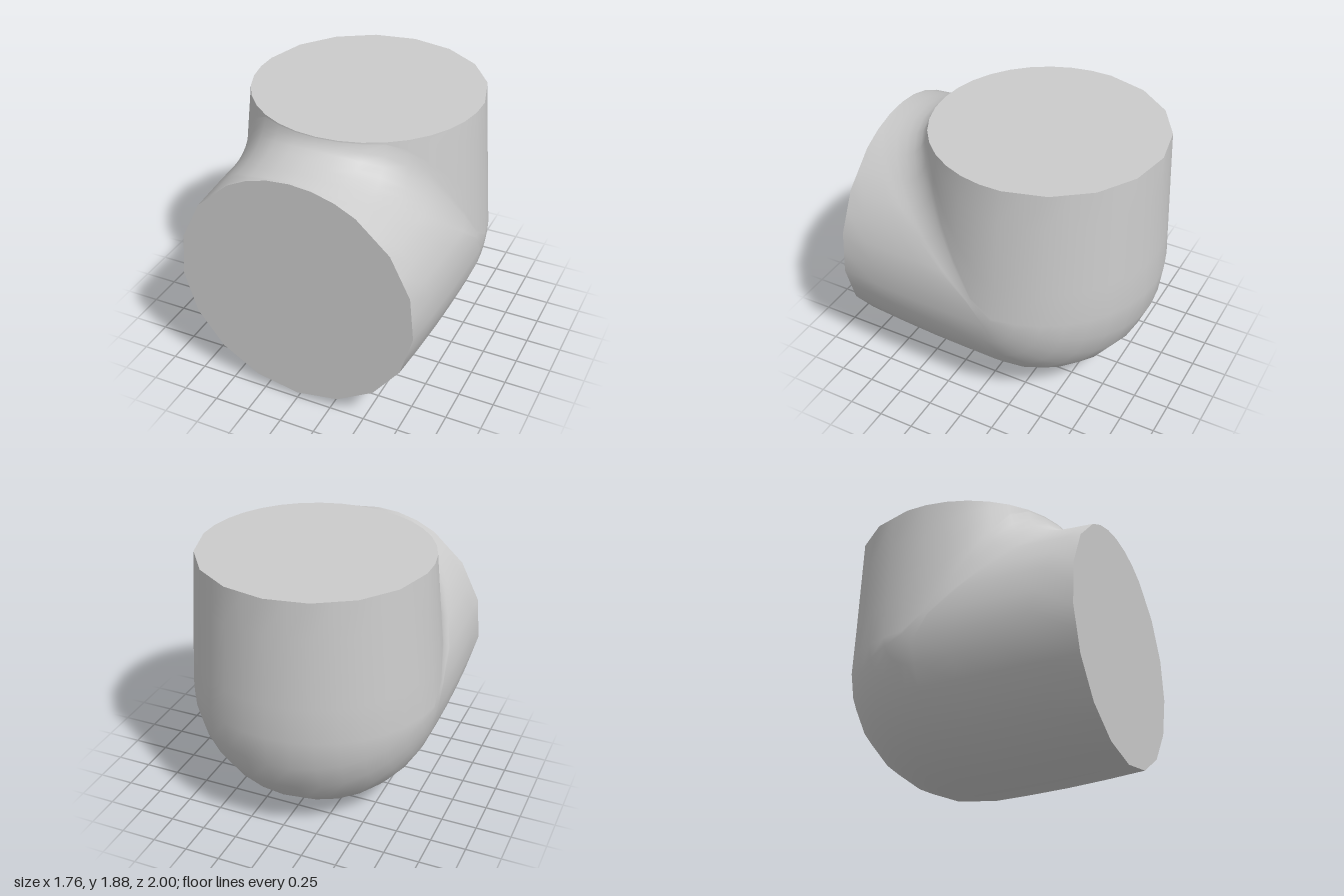
import * as THREE from 'three';

const SIDES = 34;              // points around the tube
const R = 0.885;               // radius at the bend
const C = { z: -0.115, y: 0.885 }; // centre of the bend
const RF = 0.845, RT = 0.803;  // radii of the front and top mouths
const mix = (a, b, t) => a.clone().lerp(b, t);

// One lengthwise strand of the elbow, from front mouth to top mouth
function strand(i) {
  const phi = (i / SIDES) * Math.PI * 2;
  const d = Math.cos(phi), s = Math.sin(phi); // d = 1 on the outside of the bend
  // the mouths have half as many sides, so odd strands end on a chord
  const flat = i % 2 ? Math.cos((Math.PI * 2) / SIDES) : 1;
  const rf = RF * (d > -0.9 ? flat : 1), rt = RT * (d > 0 ? flat : 1);
  const front = new THREE.Vector3(s * rf, 0.8875 - d * rf, 1);
  const top = new THREE.Vector3(s * rt, 1.875, -0.167 - d * rt);
  const low = new THREE.Vector3(s * R, C.y - d * R, C.z);
  const back = new THREE.Vector3(s * R, C.y, C.z - d * R);
  let a = low, b = back, bend;
  if (d > 0) {
    // outside: round arc about the bend centre
    bend = (u) => {
      const t = (u * Math.PI) / 2;
      return new THREE.Vector3(s * R, C.y - d * R * Math.cos(t), C.z - d * R * Math.sin(t));
    };
  } else {
    // inside: the two straight runs meet in a soft fillet
    const m1 = (low.y - front.y) / (low.z - front.z);
    const m2 = (back.z - top.z) / (back.y - top.y);
    const y = (front.y + m1 * (top.z - m2 * top.y - front.z)) / (1 - m1 * m2);
    const z = top.z + m2 * (y - top.y);
    const c1 = mix(front, low, (1 - z) / (1 - C.z));
    const c2 = mix(top, back, (top.y - y) / (top.y - C.y));
    const f = -0.36 * d;
    a = mix(c1, front, Math.min(0.94, f / c1.distanceTo(front)));
    b = mix(c2, top, Math.min(0.94, f / c2.distanceTo(top)));
    const curve = new THREE.QuadraticBezierCurve3(a, mix(c1, c2, 0.5), b);
    bend = (u) => curve.getPoint(u);
  }
  const points = [];
  const add = (p, amount) => {
    // slight barrel swelling of the front run
    const t = THREE.MathUtils.clamp((p.z - C.z) / (1 - C.z), 0, 1);
    const swell = 0.012 * Math.sin(Math.PI * t) * amount;
    points.push(new THREE.Vector3(p.x + s * swell, p.y - d * swell, p.z));
  };
  for (let k = 0; k < 4; k++) add(mix(front, a, k / 4), 1);
  for (let k = 0; k <= 6; k++) add(bend(k / 6), 1 - k / 6);
  for (let k = 1; k <= 4; k++) add(mix(b, top, k / 4), 0);
  return points;
}

function makeGeometry(points, index) {
  const g = new THREE.BufferGeometry().setFromPoints(points);
  g.setIndex(index);
  g.computeVertexNormals();
  return g;
}

// Flat disc closing a mouth
function cap(ring, reversed) {
  const centre = ring.reduce((sum, p) => sum.add(p), new THREE.Vector3()).divideScalar(SIDES);
  const index = [];
  for (let i = 0; i < SIDES; i++) {
    const n = (i + 1) % SIDES;
    if (reversed) index.push(SIDES, n, i);
    else index.push(SIDES, i, n);
  }
  return makeGeometry([...ring, centre], index);
}

export function createModel() {
  const group = new THREE.Group();
  group.name = 'pipeElbow';
  const material = new THREE.MeshStandardMaterial({ color: 0xcccccc });
  const strands = Array.from({ length: SIDES }, (_, i) => strand(i));
  const rows = strands[0].length;

  // Smooth skin joining neighbouring strands
  const index = [];
  for (let i = 0; i < SIDES; i++) {
    for (let j = 0; j < rows - 1; j++) {
      const p = i * rows + j, q = ((i + 1) % SIDES) * rows + j;
      index.push(p, p + 1, q, q, p + 1, q + 1);
    }
  }
  const add = (name, geometry) => {
    const mesh = new THREE.Mesh(geometry, material);
    mesh.name = name;
    group.add(mesh);
  };
  add('elbowBody', makeGeometry(strands.flat(), index));
  add('frontCap', cap(strands.map((s) => s[0]), false));
  add('topCap', cap(strands.map((s) => s[rows - 1]), true));
  return group;
}
